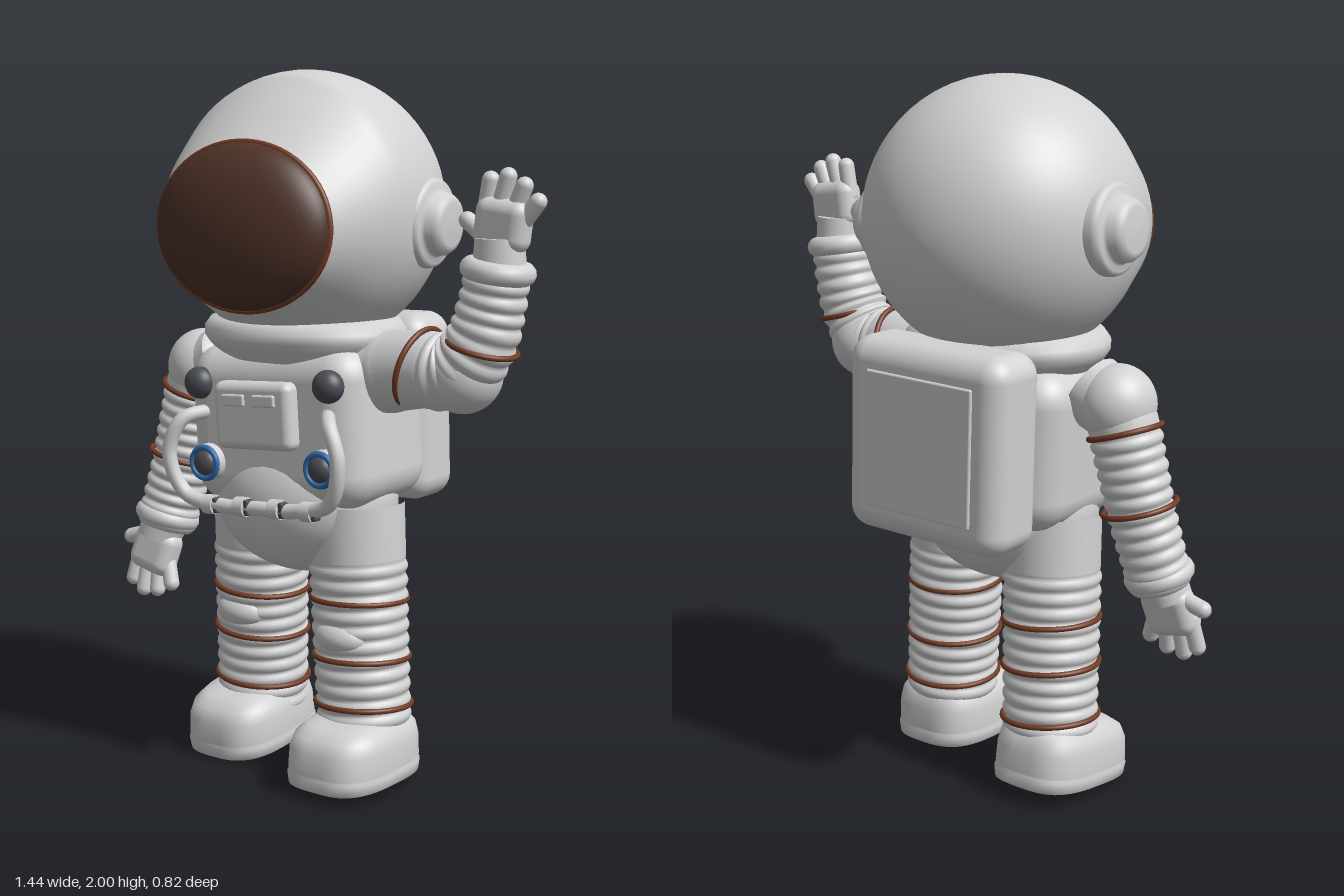
import * as THREE from 'three';
import { mergeVertices } from 'three/addons/utils/BufferGeometryUtils.js';
import { RoundedBoxGeometry } from 'three/addons/geometries/RoundedBoxGeometry.js';

const V = (x, y, z) => new THREE.Vector3(x, y, z);
const mat = (name, color) => {
  const m = new THREE.MeshStandardMaterial({ color });
  m.name = name;
  return m;
};

// Closed surface through rings [height, radiusX, radiusZ, centreX, centreZ]; power > 2 squares the outline
function loft(rings, n = 48, power = 2) {
  const pos = [], idx = [];
  const bend = (v) => Math.sign(v) * Math.abs(v) ** (2 / power);
  rings.forEach(([y, rx, rz, cx = 0, cz = 0], i) => {
    for (let j = 0; j < n; j++) {
      const a = (j / n) * Math.PI * 2;
      pos.push(cx + rx * bend(Math.cos(a)), y, cz + rz * bend(Math.sin(a)));
      if (i + 1 < rings.length) {
        const p = i * n + j, q = i * n + ((j + 1) % n);
        idx.push(p, p + n, q, q, p + n, q + n);
      }
    }
  });
  const g = new THREE.BufferGeometry();
  g.setAttribute('position', new THREE.Float32BufferAttribute(pos, 3));
  g.setIndex(idx);
  g.computeVertexNormals();
  return g;
}

// Ribbed sleeve: a tube whose radius follows r0 -> r1, with ribs past ribStart
function sleeve(points, r0, r1, ribs, ribStart) {
  const curve = new THREE.CatmullRomCurve3(points);
  const n = 110, sides = 32;
  const g = new THREE.TubeGeometry(curve, n, 1, sides);
  const p = g.attributes.position, v = V(0, 0, 0);
  for (let i = 0; i < p.count; i++) {
    const u = Math.floor(i / (sides + 1)) / n;
    const c = curve.getPointAt(u);
    const t = Math.max(0, (u - ribStart) / (1 - ribStart));
    const r = r0 + (r1 - r0) * u + 0.01 * (Math.abs(Math.sin(t * ribs * Math.PI)) - 0.5) * (t > 0 ? 1 : 0);
    v.fromBufferAttribute(p, i).sub(c).multiplyScalar(r).add(c);
    p.setXYZ(i, v.x, v.y, v.z);
  }
  g.deleteAttribute('uv');
  g.deleteAttribute('normal');
  const m = mergeVertices(g);
  m.computeVertexNormals();
  return m;
}

export function createModel() {
  const root = new THREE.Group();
  root.name = 'astronaut';
  const white = mat('suitWhite', 0xd2d2d2);
  const visorMat = mat('visorBrown', 0x4f3329);
  const trim = mat('trimBrown', 0x733c26);
  const dark = mat('darkGrey', 0x4b4d55);
  const blue = mat('gaugeBlue', 0x2f6fb0);

  const add = (parent, name, geo, material, x = 0, y = 0, z = 0) => {
    const m = new THREE.Mesh(geo, material);
    m.name = name;
    m.position.set(x, y, z);
    parent.add(m);
    return m;
  };
  const group = (name, x, y, z, rx = 0, ry = 0, rz = 0) => {
    const g = new THREE.Group();
    g.name = name;
    g.position.set(x, y, z);
    g.rotation.set(rx, ry, rz);
    root.add(g);
    return g;
  };
  const ball = (parent, name, material, x, y, z, rx, ry = rx, rz = rx) =>
    add(parent, name, new THREE.SphereGeometry(1, 40, 28), material, x, y, z).scale.set(rx, ry, rz);
  // Torus around a limb, facing along dir
  const band = (name, c, dir, r, tube = 0.008, material = trim) => {
    const m = add(root, name, new THREE.TorusGeometry(r, tube, 12, 48), material, c.x, c.y, c.z);
    m.quaternion.setFromUnitVectors(V(0, 0, 1), dir.clone().normalize());
  };

  // Helmet: sphere drawn forward to an oval opening
  const head = group('head', -0.075, 1.61, -0.02, -0.05, 0.097, -0.035);
  const R = 0.39, rings = [];
  for (let i = 0; i <= 26; i++) {
    const a = (i / 26) * (Math.PI / 2 + 0.4);
    rings.push([-R * Math.cos(a), R * Math.sin(a), R * Math.sin(a)]);
  }
  rings.push([0.24, 0.327, 0.293, 0, 0.021], [0.325, 0.277, 0.228, 0, 0.046]);
  add(head, 'helmet', loft(rings, 64).rotateX(Math.PI / 2), white);
  // Visor dome and rim
  const dome = new THREE.SphereGeometry(1, 48, 16, 0, Math.PI * 2, 0, Math.PI / 2).rotateX(Math.PI / 2);
  add(head, 'visor', dome, visorMat, 0, -0.046, 0.322).scale.set(0.275, 0.226, 0.108);
  add(head, 'visorRim', new THREE.TorusGeometry(1, 0.035, 10, 64), trim, 0, -0.046, 0.325).scale.set(0.274, 0.226, 0.25);
  // Ear caps
  const earProfile = [[0.125, 0.3], [0.125, 0.37], [0.12, 0.385], [0.11, 0.392], [0.095, 0.392], [0.088, 0.4],
    [0.085, 0.42], [0.075, 0.434], [0.06, 0.44], [0, 0.442]].map(([r, h]) => new THREE.Vector2(r, h));
  for (const s of [1, -1])
    add(head, 'earCap', new THREE.LatheGeometry(earProfile, 48).rotateZ(-s * Math.PI / 2), white, 0, -0.01, -0.045);

  // Collar
  add(root, 'collar', loft([[1.2, 0.25, 0.2], [1.235, 0.29, 0.235], [1.26, 0.305, 0.255], [1.285, 0.305, 0.255],
    [1.31, 0.285, 0.24], [1.32, 0.24, 0.2]]), white, -0.07, 0, 0);

  // Torso with chest gear
  const torso = group('torso', -0.06, 1.015, 0, 0, 0.03, 0.06);
  add(torso, 'chest', new RoundedBoxGeometry(0.595, 0.46, 0.41, 8, 0.1), white);
  add(torso, 'controlBox', new RoundedBoxGeometry(0.265, 0.19, 0.07, 5, 0.025), white, -0.015, 0.04, 0.215);
  for (const x of [-0.07, 0.035])
    add(torso, 'controlSlot', new RoundedBoxGeometry(0.078, 0.034, 0.016, 3, 0.006), white, x, 0.085, 0.25);
  for (const s of [1, -1]) {
    ball(torso, 'stud', dark, s * 0.223, 0.125, 0.205, 0.046, 0.046, 0.04);
    const cup = add(torso, 'gaugeCup', new THREE.CylinderGeometry(0.052, 0.055, 0.05, 32), white, s * 0.2, -0.1, 0.205);
    cup.rotation.x = Math.PI / 2;
    add(torso, 'gaugeRing', new THREE.TorusGeometry(0.044, 0.009, 10, 36), blue, s * 0.2, -0.1, 0.232);
    ball(torso, 'gaugeFace', dark, s * 0.2, -0.1, 0.226, 0.038, 0.038, 0.028);
  }
  const half = [[0.2, 0.045, 0.18], [0.255, 0.025, 0.255], [0.292, -0.07, 0.275], [0.25, -0.185, 0.262], [0.12, -0.216, 0.25]];
  const hosePts = [...half.map(([x, y, z]) => V(-x, y, z)), V(0, -0.216, 0.25), ...half.map(([x, y, z]) => V(x, y, z)).reverse()];
  add(torso, 'hose', new THREE.TubeGeometry(new THREE.CatmullRomCurve3(hosePts), 90, 0.021, 14), white);
  // Hose fittings
  for (const x of [-0.17, -0.06, 0.06, 0.17]) {
    add(torso, 'hoseFitting', new THREE.CylinderGeometry(0.028, 0.028, 0.035, 20).rotateZ(Math.PI / 2), white, x, -0.214, 0.25);
    add(torso, 'hoseClamp', new RoundedBoxGeometry(0.016, 0.045, 0.03, 2, 0.005), dark, x + 0.026, -0.214, 0.255);
  }

  // Backpack
  const pack = group('backpack', -0.073, 1.033, -0.285, 0, 0.03, 0.03);
  add(pack, 'packBody', new RoundedBoxGeometry(0.535, 0.545, 0.205, 8, 0.065), white);
  add(pack, 'packPanel', new RoundedBoxGeometry(0.36, 0.38, 0.02, 3, 0.006), white, 0, 0, -0.1);

  // Pelvis
  ball(root, 'pelvis', white, -0.06, 0.8, 0.01, 0.285, 0.22, 0.225);

  // Legs and boots
  const boot = loft([[0, 0, 0], [0, 0.13, 0.18], [0.008, 0.145, 0.196], [0.036, 0.148, 0.199], [0.044, 0.142, 0.192],
    [0.05, 0.146, 0.196], [0.11, 0.144, 0.192, 0, -0.002], [0.145, 0.136, 0.178, 0, -0.008], [0.168, 0.115, 0.15, 0, -0.02],
    [0.18, 0.08, 0.1, 0, -0.04], [0.182, 0, 0, 0, -0.04]], 56, 3);
  const legs = [
    { side: 'left', top: V(0.125, 0.8, 0.02), bottom: V(0.17, 0.13, 0.035), footZ: 0.09, lift: 0.025, tilt: 0, bands: [0.53, 0.365, 0.23] },
    { side: 'right', top: V(-0.235, 0.8, 0.0), bottom: V(-0.265, 0.13, -0.045), footZ: -0.01, lift: 0.023, tilt: 0.11, bands: [0.5, 0.37, 0.22] },
  ];
  for (const { side, top, bottom, footZ, lift, tilt, bands } of legs) {
    const at = (y) => top.clone().lerp(bottom, (top.y - y) / (top.y - bottom.y));
    add(root, side + 'Leg', sleeve([top, at(0.58), at(0.35), bottom], 0.138, 0.13, 12, 0.24), white);
    for (const y of bands) band(side + 'LegBand', at(y), top.clone().sub(bottom).add(V(0.02, 0, -0.03)), 0.136);
    const knee = at(0.435);
    ball(root, side + 'KneePad', white, knee.x, knee.y, knee.z + 0.09, 0.085, 0.05, 0.06);
    const foot = group(side + 'Boot', bottom.x + (side === 'left' ? 0.003 : -0.01), lift, footZ, tilt);
    add(foot, 'boot', boot, white);
  }

  // Raised left arm
  ball(root, 'leftShoulder', white, 0.235, 1.18, 0.01, 0.115);
  add(root, 'leftArm', sleeve([V(0.2, 1.175, 0.01), V(0.335, 1.195, 0.015), V(0.465, 1.205, 0.02), V(0.53, 1.28, 0.02),
    V(0.56, 1.38, 0.015), V(0.582, 1.5, 0.015)], 0.115, 0.082, 10, 0.32), white);
  ball(root, 'leftElbow', white, 0.475, 1.195, 0.015, 0.108);
  band('leftArmBand', V(0.335, 1.2, 0.015), V(1, -0.27, 0), 0.111);
  band('leftArmBand', V(0.535, 1.272, 0.02), V(0.25, 1, 0), 0.096);
  band('leftCuff', V(0.578, 1.475, 0.015), V(0.15, 1, 0), 0.072, 0.03, white);

  // Lowered right arm
  ball(root, 'rightShoulder', white, -0.45, 1.14, 0.0, 0.105, 0.11, 0.11);
  add(root, 'rightArm', sleeve([V(-0.36, 1.17, 0), V(-0.45, 1.12, 0.0), V(-0.49, 1.0, 0.005), V(-0.52, 0.86, 0.015),
    V(-0.55, 0.74, 0.03), V(-0.57, 0.64, 0.05)], 0.1, 0.085, 11, 0.28), white);
  band('rightArmBand', V(-0.475, 1.068, 0.002), V(0.3, 1, 0), 0.1);
  band('rightArmBand', V(-0.518, 0.862, 0.015), V(0.22, 1, -0.1), 0.102);
  band('rightCuff', V(-0.565, 0.675, 0.045), V(0.2, 1, -0.2), 0.07, 0.029, white);

  // Gloves: fingers along local +y, thumb toward local -x
  const fingers = [[-0.05, 0.1, -0.035, 0.185], [-0.008, 0.11, 0.018, 0.195], [0.035, 0.1, 0.067, 0.172], [0.065, 0.08, 0.108, 0.132],
    [-0.04, 0.03, -0.105, 0.078]];
  const glove = (name, ...place) => {
    const g = group(name, ...place);
    add(g, 'wrist', new THREE.CylinderGeometry(0.066, 0.072, 0.08, 28), white, -0.005, -0.005, 0);
    add(g, 'palm', new RoundedBoxGeometry(0.158, 0.14, 0.085, 6, 0.038), white, 0.005, 0.07, 0).rotation.z = -0.12;
    for (const [x0, y0, x1, y1] of fingers) {
      const d = V(x1 - x0, y1 - y0, 0);
      const f = add(g, 'finger', new THREE.CapsuleGeometry(0.0235, d.length(), 8, 16), white, (x0 + x1) / 2, (y0 + y1) / 2, 0);
      f.quaternion.setFromUnitVectors(V(0, 1, 0), d.normalize());
    }
  };
  glove('leftGlove', 0.585, 1.525, 0.012);
  glove('rightGlove', -0.572, 0.635, 0.055, Math.PI - 0.22, 0, 0.33);

  return root;
}
